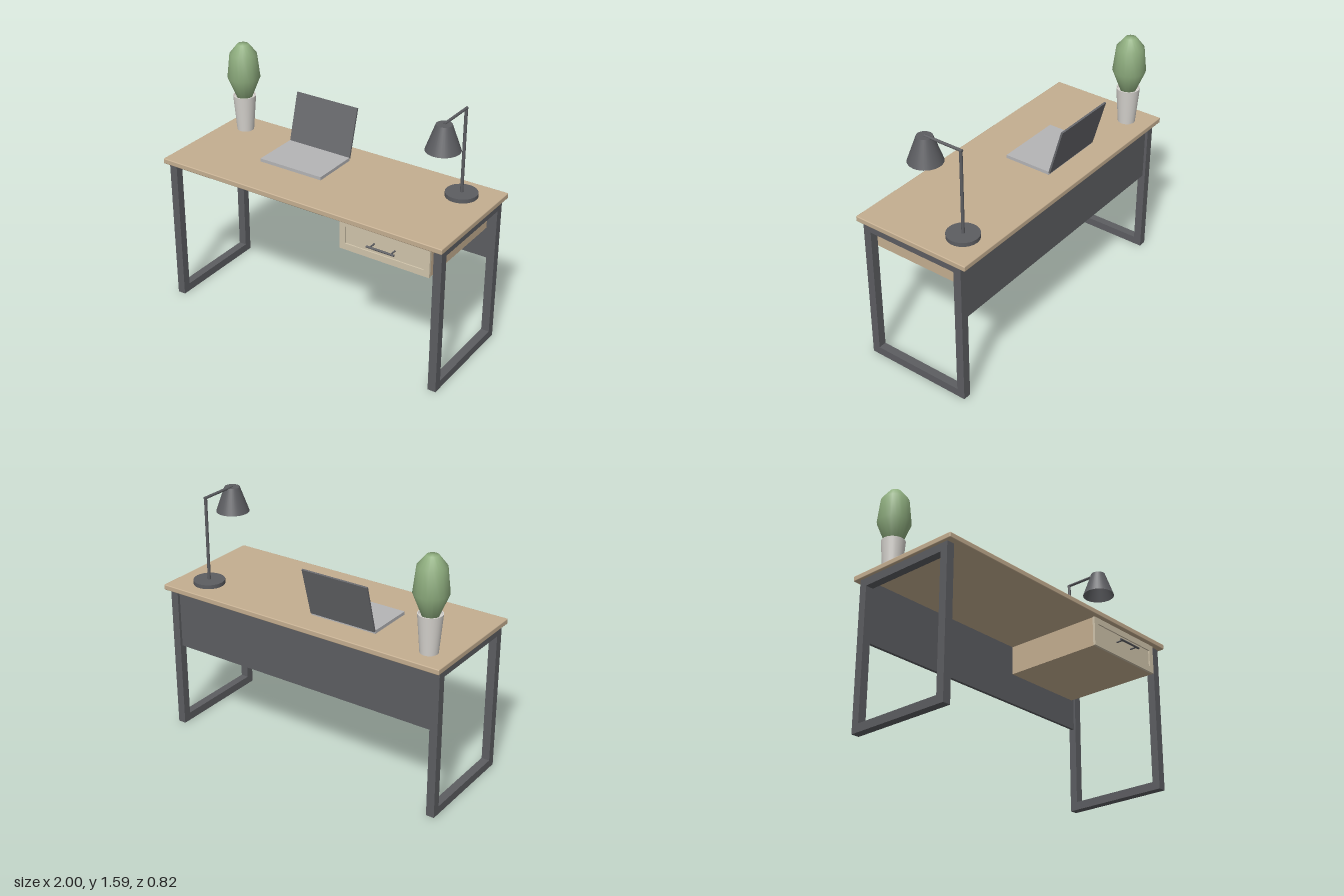
import * as THREE from 'three';
import { RoundedBoxGeometry } from 'three/addons/geometries/RoundedBoxGeometry.js';

const paint = (color) => new THREE.MeshStandardMaterial({ color });
const wood = paint(0xc4ae90);
const cream = paint(0xd0c4ab);
const metal = paint(0x5c5d61);
const silver = paint(0xb4b4b6);
const ceramic = paint(0xd6d3ce);
const leaf = paint(0x8fae7f);
const shadeMetal = paint(0x5c5d61);
shadeMetal.side = THREE.DoubleSide;

function add(parent, name, geometry, material, x = 0, y = 0, z = 0) {
  const mesh = new THREE.Mesh(geometry, material);
  mesh.name = name;
  mesh.position.set(x, y, z);
  parent.add(mesh);
  return mesh;
}

function group(parent, name, x = 0, y = 0, z = 0) {
  const g = new THREE.Group();
  g.name = name;
  g.position.set(x, y, z);
  parent.add(g);
  return g;
}

// Box given by its lower and upper corners
function block(parent, name, material, [x0, y0, z0], [x1, y1, z1]) {
  return add(parent, name, new THREE.BoxGeometry(x1 - x0, y1 - y0, z1 - z0), material,
    (x0 + x1) / 2, (y0 + y1) / 2, (z0 + z1) / 2);
}

function rect(Type, x0, y0, x1, y1) {
  const p = new Type();
  p.moveTo(x0, y0);
  p.lineTo(x1, y0);
  p.lineTo(x1, y1);
  p.lineTo(x0, y1);
  p.closePath();
  return p;
}

// Flat rectangular frame with a rectangular opening
function frame(outer, inner, depth) {
  const shape = rect(THREE.Shape, ...outer);
  shape.holes.push(rect(THREE.Path, ...inner));
  return new THREE.ExtrudeGeometry(shape, { depth, bevelEnabled: false });
}

const lathe = (points, segments) =>
  new THREE.LatheGeometry(points.map(([r, y]) => new THREE.Vector2(r, y)), segments);

function buildDesk(model) {
  const desk = group(model, 'desk');
  add(desk, 'deskTop', new RoundedBoxGeometry(2, 0.035, 0.8, 2, 0.006), wood, 0, 0.9825, -0.01);

  // Closed-loop leg frames at both ends
  const loop = frame([-0.366, 0, 0.351, 0.966], [-0.314, 0.053, 0.299, 0.913], 0.053);
  loop.rotateY(-Math.PI / 2);
  add(desk, 'legFrameLeft', loop, metal, 0.982);
  add(desk, 'legFrameRight', loop, metal, -0.929);

  block(desk, 'modestyPanel', metal, [-0.93, 0.567, -0.348], [0.93, 0.965, -0.328]);
}

function buildDrawer(model) {
  const drawer = group(model, 'drawer');
  block(drawer, 'drawerBox', wood, [0.31, 0.772, -0.328], [0.91, 0.966, 0.345]);

  // Front with a recessed centre panel
  const front = frame([0.307, 0.772, 0.912, 0.966], [0.345, 0.813, 0.875, 0.925], 0.016);
  add(drawer, 'drawerFront', front, cream, 0, 0, 0.345);
  block(drawer, 'drawerPanel', cream, [0.34, 0.808, 0.34], [0.88, 0.93, 0.352]);

  // Bar handle on two posts
  const handle = group(drawer, 'drawerHandle', 0.61, 0.869, 0.352);
  add(handle, 'handleBar', new THREE.CylinderGeometry(0.007, 0.007, 0.186, 12), metal, 0, 0, 0.049)
    .rotation.z = Math.PI / 2;
  for (const x of [-0.07, 0.07]) {
    add(handle, 'handlePost', new THREE.CylinderGeometry(0.005, 0.005, 0.049, 10), metal, x, 0, 0.0245)
      .rotation.x = Math.PI / 2;
  }
}

function buildLaptop(model) {
  const laptop = group(model, 'laptop', -0.243, 1, 0);
  block(laptop, 'laptopBase', silver, [-0.227, 0, -0.235], [0.227, 0.021, 0.083]);
  // Lid hinged at the back edge and leaning backwards
  const lid = group(laptop, 'laptopLid', 0, 0.016, -0.232);
  block(lid, 'laptopScreen', paint(0x66676b), [-0.227, 0, -0.012], [0.227, 0.322, 0]);
  lid.rotation.x = -0.27;
}

function buildLamp(model) {
  const lamp = group(model, 'lamp', 0.783, 1, -0.225);
  add(lamp, 'lampBase', new THREE.CylinderGeometry(0.1, 0.1, 0.026, 32), metal, 0, 0.013);
  add(lamp, 'lampPost', new THREE.CylinderGeometry(0.01, 0.01, 0.556, 12), metal, 0, 0.288);
  add(lamp, 'lampArm', new THREE.CylinderGeometry(0.009, 0.009, 0.264, 12), metal, 0, 0.565, 0.122)
    .rotation.x = Math.PI / 2;
  // Conical shade, open below
  add(lamp, 'lampShade', new THREE.CylinderGeometry(0.048, 0.105, 0.16, 32, 1, true), shadeMetal, 0, 0.484, 0.255);
  add(lamp, 'lampShadeTop', new THREE.CircleGeometry(0.048, 32), shadeMetal, 0, 0.564, 0.255)
    .rotation.x = -Math.PI / 2;
}

function buildPlant(model) {
  const plant = group(model, 'plant', -0.842, 1, -0.252);
  add(plant, 'pot', new THREE.CylinderGeometry(0.075, 0.055, 0.241, 24, 1, true), ceramic, 0, 0.1205);
  add(plant, 'potRim', lathe([[0.075, 0.241], [0.067, 0.241]], 24), ceramic);
  add(plant, 'potInside', lathe([[0.067, 0.241], [0.065, 0.222], [0, 0.222]], 24), ceramic);
  // Tall faceted-profile foliage
  const profile = [[0, 0.215], [0.045, 0.215], [0.106, 0.367], [0.088, 0.525], [0.037, 0.59], [0, 0.592]];
  add(plant, 'foliage', lathe(profile, 20), leaf);
}

export function createModel() {
  const model = new THREE.Group();
  model.name = 'deskSet';
  buildDesk(model);
  buildDrawer(model);
  buildLaptop(model);
  buildLamp(model);
  buildPlant(model);
  return model;
}
